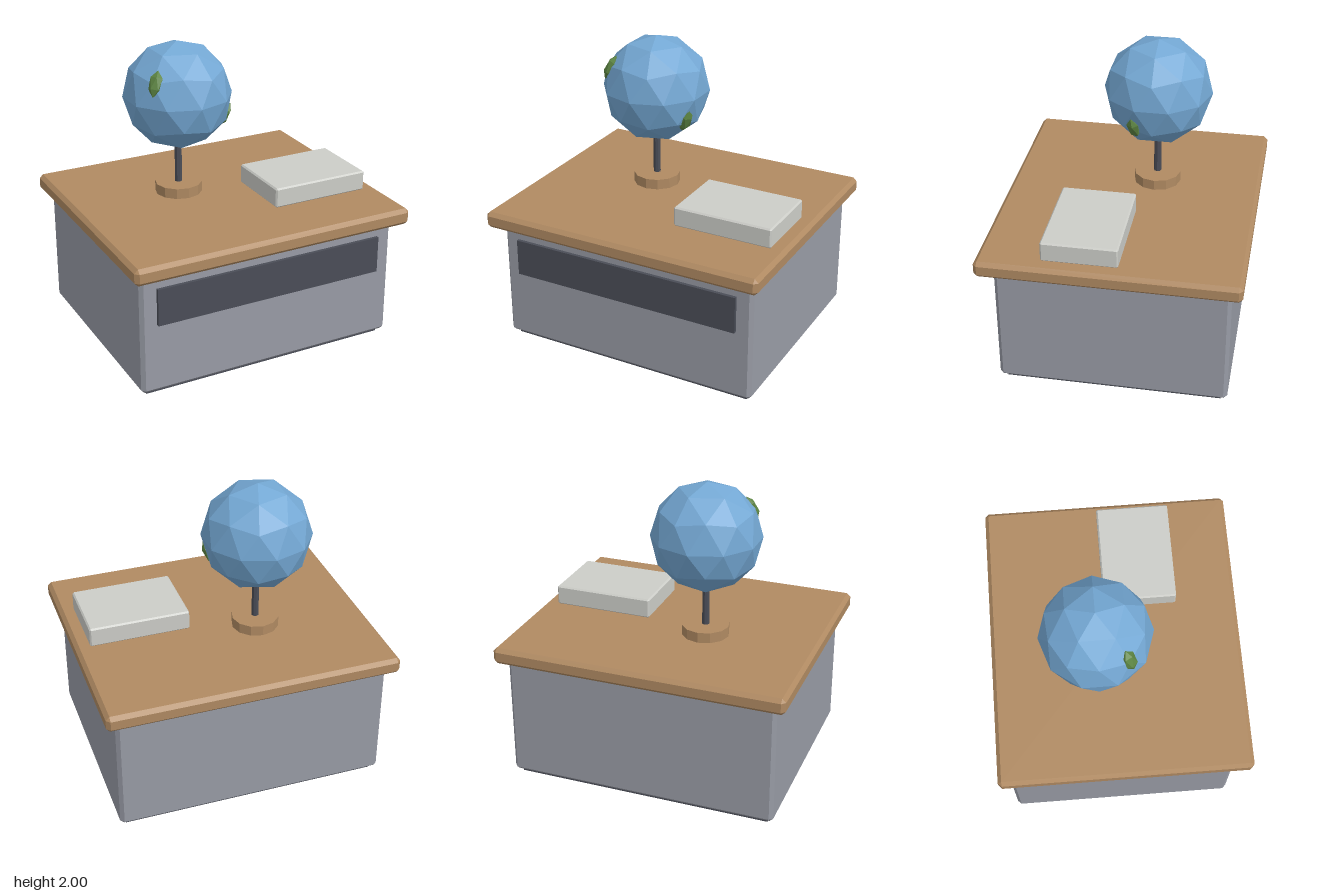
import * as THREE from 'three';
import { ConvexGeometry } from 'three/addons/geometries/ConvexGeometry.js';

const paint = (name, color) => {
  const m = new THREE.MeshStandardMaterial({ color });
  m.name = name;
  return m;
};

// Box from its limits on each axis, with every edge chamfered by c
function chamferBox([x0, x1], [y0, y1], [z0, z1], c) {
  const half = [(x1 - x0) / 2, (y1 - y0) / 2, (z1 - z0) / 2];
  const points = [];
  for (const sx of [-1, 1]) for (const sy of [-1, 1]) for (const sz of [-1, 1]) {
    for (let axis = 0; axis < 3; axis++) {
      const p = half.map((h, i) => (i === axis ? h : h - c));
      points.push(new THREE.Vector3(p[0] * sx, p[1] * sy, p[2] * sz));
    }
  }
  return new ConvexGeometry(points).translate((x0 + x1) / 2, (y0 + y1) / 2, (z0 + z1) / 2);
}

function plainBox([x0, x1], [y0, y1], [z0, z1]) {
  return new THREE.BoxGeometry(x1 - x0, y1 - y0, z1 - z0)
    .translate((x0 + x1) / 2, (y0 + y1) / 2, (z0 + z1) / 2);
}

// Faceted ball standing on one of its corners
function facetBall(radius, detail) {
  return new THREE.IcosahedronGeometry(radius, detail)
    .rotateZ(-Math.atan(2 / (1 + Math.sqrt(5))));
}

export function createModel() {
  const model = new THREE.Group();
  model.name = 'deskWithGlobe';

  const wood = paint('wood', 0xb08a62);
  const grey = paint('cabinetGrey', 0x989ba5);
  const dark = paint('darkGrey', 0x4a4d57);
  const paper = paint('paper', 0xcccdc8);
  const blue = paint('oceanBlue', 0x74a8d4);
  const green = paint('landGreen', 0x5c8442);
  blue.flatShading = green.flatShading = wood.flatShading = dark.flatShading = true;

  const add = (name, geometry, material) => {
    const mesh = new THREE.Mesh(geometry, material);
    mesh.name = name;
    model.add(mesh);
    return mesh;
  };

  // Cabinet
  add('plinth', plainBox([-0.863, 0.863], [0, 0.035], [-0.725, 0.685]), dark);
  add('cabinet', chamferBox([-0.907, 0.907], [0.025, 0.845], [-0.77, 0.73], 0.024), grey);
  add('drawerPanel', plainBox([-0.798, 0.798], [0.502, 0.752], [0.7, 0.752]), dark);
  add('deskTop', chamferBox([-0.977, 0.977], [0.845, 0.957], [-0.84, 0.84], 0.025), wood);

  // Book lying on the desk
  add('book', chamferBox([0.203, 0.882], [0.955, 1.09], [-0.062, 0.43], 0.01), paper);

  // Globe on its stand
  const centre = new THREE.Vector3(-0.23, 1.64, -0.137);
  add('globeFoot', new THREE.CylinderGeometry(0.158, 0.158, 0.08, 12), wood)
    .position.set(centre.x, 0.987, centre.z);
  add('globePole', new THREE.CylinderGeometry(0.025, 0.025, 0.32, 8), dark)
    .position.set(centre.x, 1.16, centre.z);
  add('globe', facetBall(0.361, 1), blue).position.copy(centre);

  // Land patches, flattened against the globe
  for (const [name, x, y, z] of [['landRight', 0.83, -0.44, 0.35], ['landLeft', -0.7, 0.46, 0.55]]) {
    const outward = new THREE.Vector3(x, y, z).normalize();
    const patch = add(name, facetBall(1, 0), green);
    patch.scale.set(0.048, 0.088, 0.035);
    patch.position.copy(centre).addScaledVector(outward, 0.343);
    patch.lookAt(centre.clone().addScaledVector(outward, 2));
  }
  return model;
}
